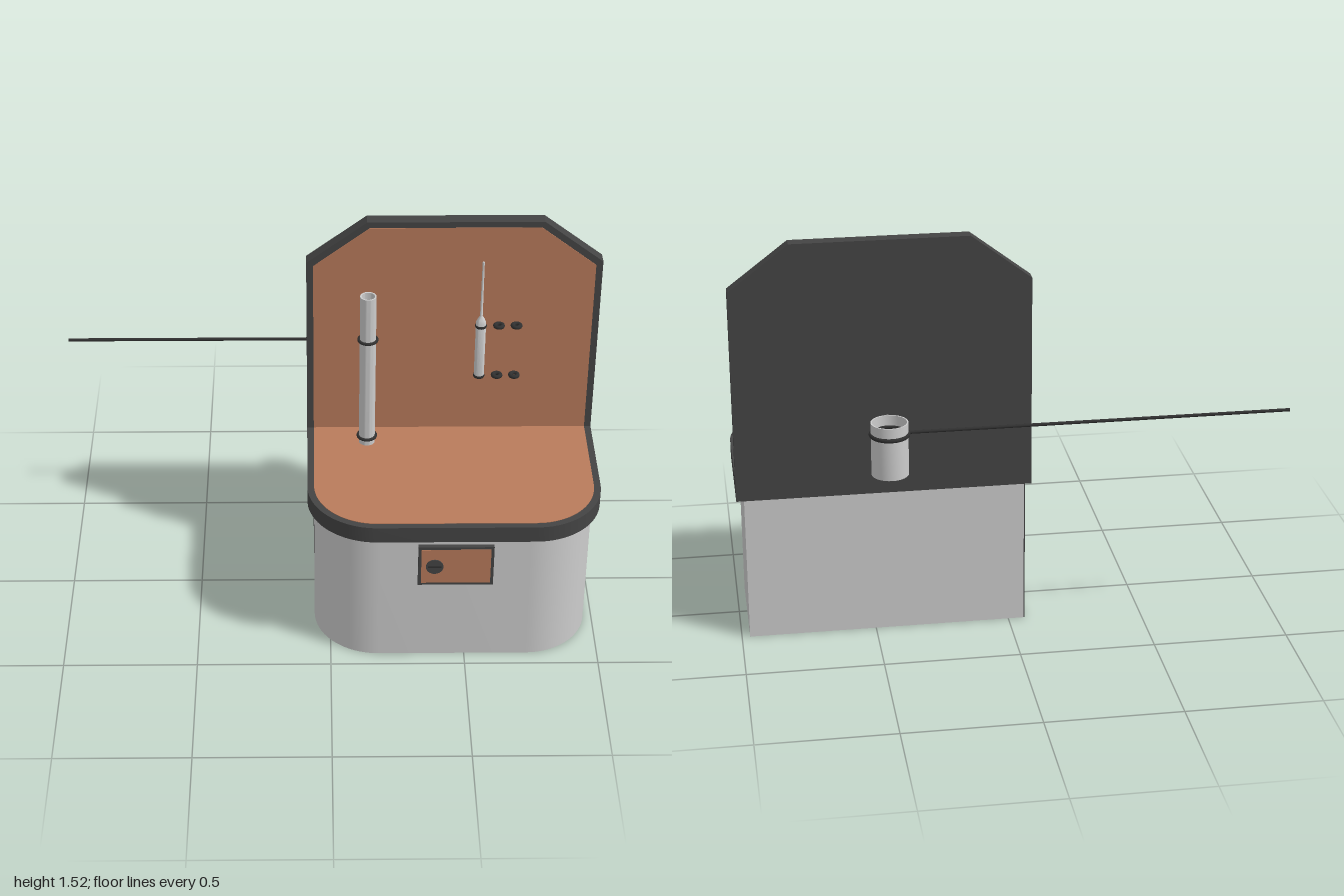
import * as THREE from 'three';
import { toCreasedNormals } from 'three/addons/utils/BufferGeometryUtils.js';

const mat = (name, color, side = THREE.FrontSide) => {
  const m = new THREE.MeshStandardMaterial({ color, side });
  m.name = name;
  return m;
};

export function createModel() {
  const root = new THREE.Group();
  root.name = 'workstation';
  const grey = mat('pale grey', 0xcccccc);
  const dark = mat('charcoal', 0x444444);
  const copper = mat('copper', 0xb97b5b);
  const black = mat('dark metal', 0x303030);

  const add = (name, geo, material, x = 0, y = 0, z = 0, parent = root) => {
    const m = new THREE.Mesh(geo, material);
    m.name = name;
    m.position.set(x, y, z);
    parent.add(m);
    return m;
  };
  const cyl = (r, h, n = 32) => new THREE.CylinderGeometry(r, r, h, n);
  const extrude = (shape, depth) => toCreasedNormals(
    new THREE.ExtrudeGeometry(shape, { depth, bevelEnabled: false, curveSegments: 10 }), 0.5);

  // Plan outline: square at the back, rounded at the front
  const slab = (x0, x1, back, front, r, h) => {
    const s = new THREE.Shape();
    s.moveTo(x0, -back);
    s.lineTo(x0, r - front);
    s.absarc(x0 + r, r - front, r, Math.PI, Math.PI * 1.5, false);
    s.lineTo(x1 - r, -front);
    s.absarc(x1 - r, r - front, r, Math.PI * 1.5, Math.PI * 2, false);
    s.lineTo(x1, -back);
    s.closePath();
    return extrude(s, h).rotateX(-Math.PI / 2);
  };
  add('base', slab(-0.06, 0.97, -0.21, 0.44, 0.24, 0.555), grey);
  add('baseEdgeStrip', new THREE.BoxGeometry(0.004, 0.555, 0.045), dark, -0.06, 0.2775, -0.1875);
  add('counter', slab(-0.085, 0.998, -0.21, 0.468, 0.255, 0.065), dark, 0, 0.552, 0);
  add('counterInlay', slab(-0.06, 0.973, -0.165, 0.443, 0.23, 0.004), copper, 0, 0.615, 0);

  // Back board with clipped top corners
  const board = (x0, x1, y0, shoulder, top, cut, depth) => extrude(new THREE.Shape([
    [x0, y0], [x1, y0], [x1, shoulder], [x1 - cut, top], [x0 + cut, top], [x0, shoulder],
  ].map(([x, y]) => new THREE.Vector2(x, y))), depth);
  add('backBoard', board(-0.085, 0.998, 0.552, 1.352, 1.52, 0.22, 0.05), dark, 0, 0, -0.211);
  add('backBoardInlay', board(-0.06, 0.973, 0.617, 1.338, 1.497, 0.205, 0.004), copper, 0, 0, -0.163);

  // Drawer front with round pull
  const drawer = new THREE.Group();
  drawer.name = 'drawer';
  drawer.position.set(0.457, 0.432, 0.44);
  root.add(drawer);
  add('drawerFrame', new THREE.BoxGeometry(0.276, 0.174, 0.034), dark, 0, 0, 0, drawer);
  add('drawerPanel', new THREE.BoxGeometry(0.254, 0.152, 0.004), copper, 0, 0, 0.017, drawer);
  add('drawerPull', cyl(0.032, 0.006).rotateX(Math.PI / 2), dark, -0.078, 0, 0.019, drawer);
  add('pullSlot', new THREE.BoxGeometry(0.05, 0.008, 0.003), black, -0.078, 0, 0.022, drawer);

  // Open vessels turned from a wall profile
  const vessel = (r, h, wall) => toCreasedNormals(new THREE.LatheGeometry([
    [0, 0], [r, 0], [r, h], [r - wall, h], [r - wall, wall], [0, wall],
  ].map(([x, y]) => new THREE.Vector2(x, y)), 32), 0.5);

  // Tall tube and its two wall clamps
  add('tallTube', vessel(0.03, 0.645, 0.006), grey, 0.14, 0.632, -0.05);
  for (const y of [0.66, 1.09]) {
    add('tubeClamp', cyl(0.038, 0.012), black, 0.14, y, -0.05).scale.setScalar(1);
    add('tubeClampArm', new THREE.BoxGeometry(0.01, 0.01, 0.09), black, 0.14, y, -0.12);
  }
  root.children.filter((m) => m.name === 'tubeClamp').forEach((m) => {
    m.geometry = new THREE.TorusGeometry(0.033, 0.006, 10, 32).rotateX(Math.PI / 2);
  });

  // Slender dropper with needle tip
  add('dropper', toCreasedNormals(new THREE.LatheGeometry([
    [0, 0.865], [0.019, 0.865], [0.019, 1.105], [0.014, 1.118], [0.005, 1.133], [0.004, 1.365], [0, 1.365],
  ].map(([x, y]) => new THREE.Vector2(x, y)), 24), 0.7), grey, 0.56, 0, -0.14);

  // Row of holder rings on the board
  for (const x of [0.56, 0.627, 0.692]) {
    for (const y of [0.87, 1.09]) {
      add('holderRing', new THREE.TorusGeometry(0.014, 0.008, 10, 24).rotateX(Math.PI / 2), black, x, y, -0.14);
      add('holderArm', new THREE.BoxGeometry(0.008, 0.008, 0.01), black, x, y, -0.159);
    }
  }

  // Beaker held on a long rod behind the board
  add('beaker', vessel(0.067, 0.198, 0.005), grey, 0.455, 0.71, -0.4);
  add('beakerSpout', new THREE.ConeGeometry(0.012, 0.022, 12).rotateX(Math.PI / 2), grey, 0.455, 0.899, -0.325);
  add('beakerRing', new THREE.TorusGeometry(0.066, 0.008, 12, 40).rotateX(Math.PI / 2), black, 0.455, 0.863, -0.4);
  add('rod', cyl(0.006, 1.385, 12).rotateZ(Math.PI / 2), black, -0.3075, 0.865, -0.4);

  return root;
}
